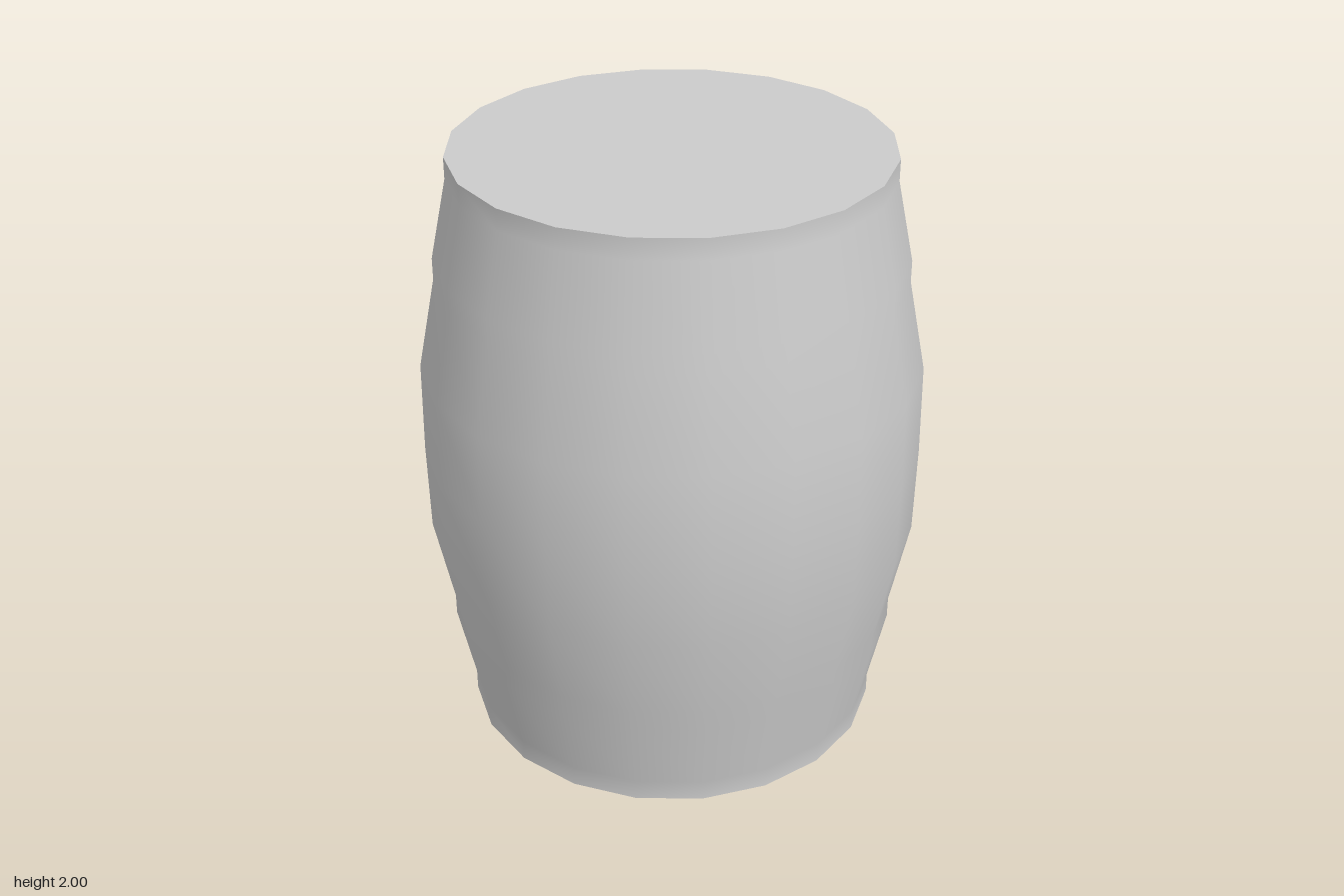
import * as THREE from 'three';

const SIDES = 20;
const HEIGHT = 2;
const END_RADIUS = 0.695;

export function createModel() {
  const barrel = new THREE.Group();
  barrel.name = 'barrel';
  const material = new THREE.MeshStandardMaterial({ color: 0xcccccc });

  // Lower half of the wall as [radius, height], mirrored about the middle
  const lower = [[END_RADIUS, 0], [END_RADIUS, 0.07], [0.75, 0.33], [0.75, 0.4], [0.81, 0.7]];
  const upper = lower.map(([r, y]) => [r, HEIGHT - y]).reverse();
  const profile = [...lower, [0.815, HEIGHT / 2], ...upper].map(([r, y]) => new THREE.Vector2(r, y));

  // Bulging wall with smooth shading
  const wall = new THREE.Mesh(new THREE.LatheGeometry(profile, SIDES), material);
  wall.name = 'barrelWall';
  barrel.add(wall);

  // Flat ends
  for (const [name, y, tilt] of [['topLid', HEIGHT, -1], ['bottomLid', 0, 1]]) {
    const lid = new THREE.Mesh(new THREE.CircleGeometry(END_RADIUS, SIDES), material);
    lid.name = name;
    lid.rotation.x = tilt * Math.PI / 2;
    lid.position.y = y;
    barrel.add(lid);
  }

  return barrel;
}
